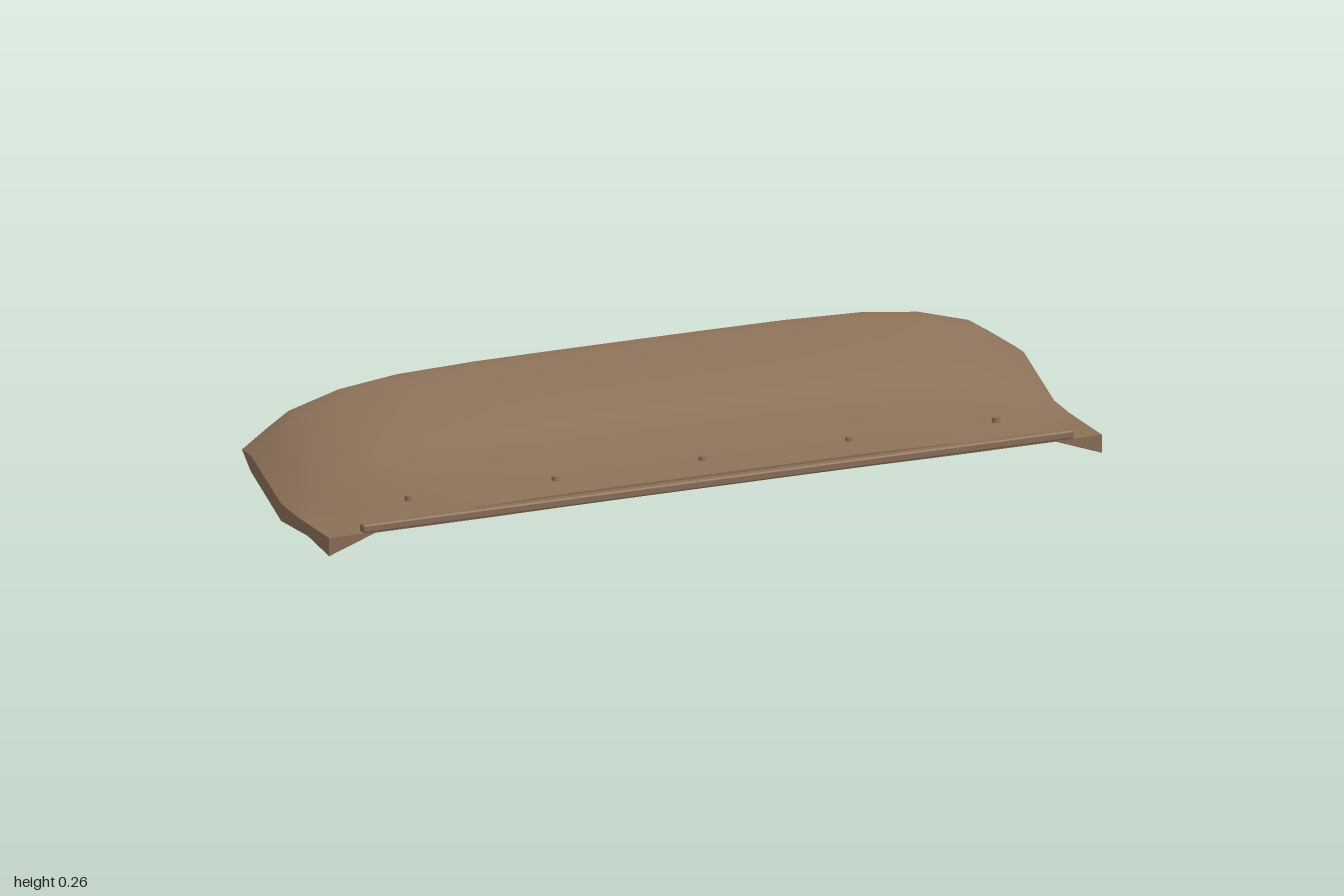
import * as THREE from 'three';
import { toCreasedNormals } from 'three/addons/utils/BufferGeometryUtils.js';
import { RoundedBoxGeometry } from 'three/addons/geometries/RoundedBoxGeometry.js';

// Stations from front to back: z, crown height, how strongly the ends droop,
// thickness along the middle, underside height at the left and right tips
const STATIONS = [
  { z: 0.243, top: 0.077, droop: 0.5, thick: 0.032, left: 0, right: 0 },
  { z: 0.12, top: 0.098, droop: 0.55, thick: 0.038, left: 0.015, right: 0.015 },
  { z: 0.055, top: 0.121, droop: 0.63, thick: 0.041, left: 0.03, right: 0.012 },
  { z: -0.035, top: 0.153, droop: 0.72, thick: 0.046, left: 0.008, right: 0.008 },
  { z: -0.21, top: 0.262, droop: 1, thick: 0.064, left: 0.08, right: 0.08 },
  { z: -0.262, top: 0.262, droop: 1 },
];
// Half span: x and drop below the crown at the back
const HALF = [[0.2, 0], [0.4, 0.001], [0.6, 0.007], [0.75, 0.025], [0.88, 0.062], [0.93, 0.094], [1, 0.142]];
const SPAN = [...HALF.map(([x, d]) => [-x, d]).reverse(), ...HALF];

// The drooping ends flatten into small tabs at the front corners
const topY = (s, drop) => Math.max(s.top - drop * s.droop, 0.045);

function bottomY(s, x, drop) {
  const t = Math.max(0, (Math.abs(x) - 0.88) / 0.12);
  const inner = Math.max(topY(s, Math.min(drop, 0.062)) - s.thick, 0.043);
  return THREE.MathUtils.lerp(inner, x > 0 ? s.left : s.right, t);
}

// Curved shell lofted across the span from closed side sections
function shellGeometry() {
  const pos = [], index = [];
  const last = STATIONS.length - 1, ring = 2 * last + 1;
  for (const [x, drop] of SPAN) {
    for (const s of STATIONS) pos.push(x, topY(s, drop), s.z);
    // the underside runs up to meet the top along the back edge
    for (let k = last - 1; k >= 0; k--) pos.push(x, bottomY(STATIONS[k], x, drop), STATIONS[k].z);
  }
  for (let i = 0; i < SPAN.length - 1; i++) {
    for (let j = 0; j < ring; j++) {
      const n = (j + 1) % ring;
      const a = i * ring + j, b = a + ring, c = (i + 1) * ring + n, d = i * ring + n;
      index.push(a, b, c, a, c, d);
    }
  }
  // End caps
  const end = (SPAN.length - 1) * ring;
  for (let k = 0; k < last; k++) {
    const a = k, b = ring - 1 - k, c = b - 1, d = k + 1;
    index.push(end + a, end + b, end + c, end + a, end + c, end + d);
    index.push(a, c, b, a, d, c);
  }
  const geo = new THREE.BufferGeometry();
  geo.setAttribute('position', new THREE.Float32BufferAttribute(pos, 3));
  geo.setIndex(index);
  return toCreasedNormals(geo, 0.68);
}

export function createModel() {
  const group = new THREE.Group();
  const brown = new THREE.MeshStandardMaterial({ name: 'brown', color: 0x8b7058 });

  const add = (name, geometry, x, y, z) => {
    const mesh = new THREE.Mesh(geometry, brown);
    mesh.name = name;
    mesh.position.set(x, y, z);
    group.add(mesh);
  };

  add('shell', shellGeometry(), 0, 0, 0);
  // Lip along the front edge
  add('frontLip', new RoundedBoxGeometry(1.84, 0.021, 0.024, 2, 0.005), 0, 0.061, 0.25);
  // Row of bolts behind the lip
  const bolt = new THREE.CylinderGeometry(0.009, 0.011, 0.012, 12);
  for (let i = -2; i <= 2; i++) add('bolt', bolt, i * 0.38, 0.092, 0.167);

  return group;
}
